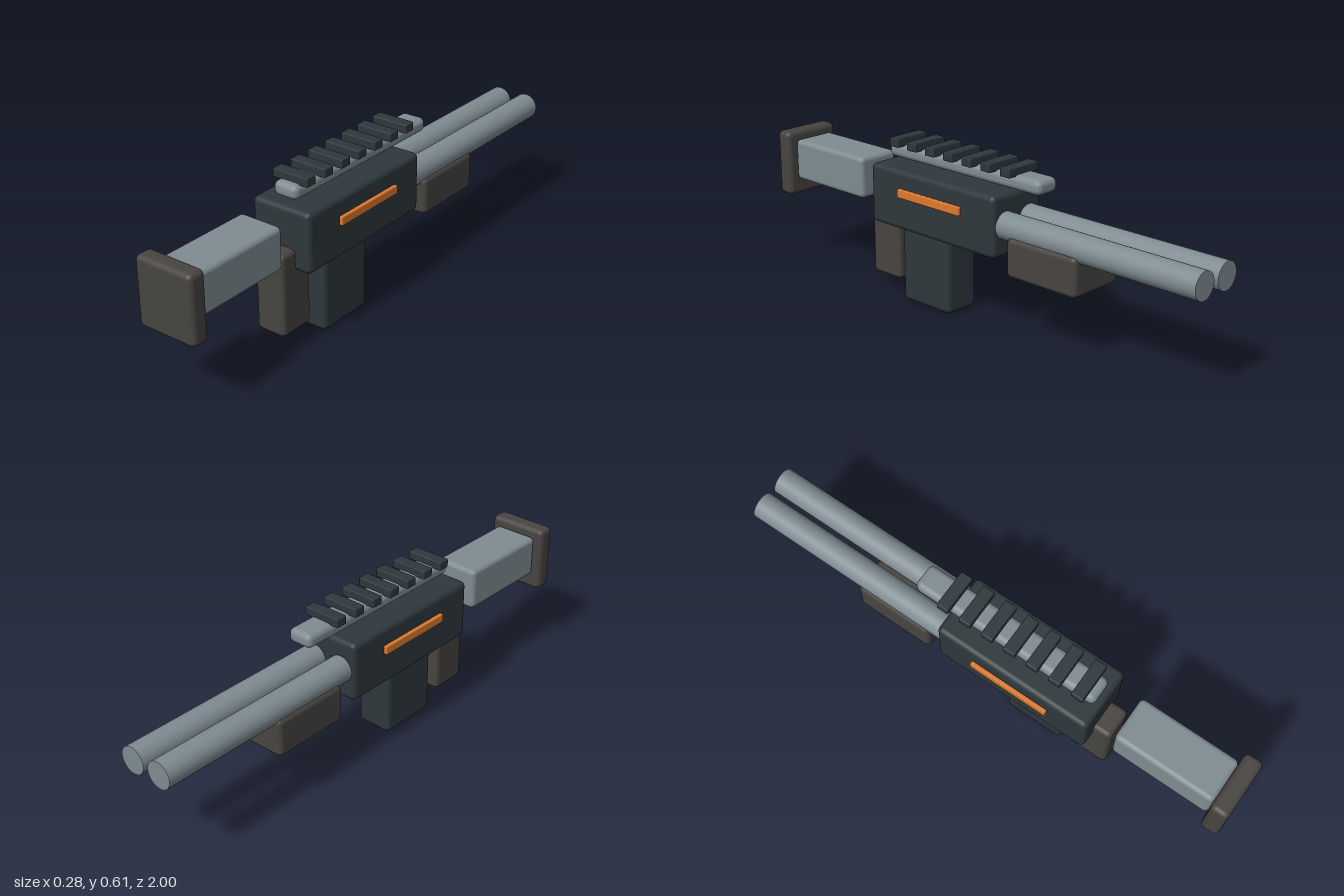
import * as THREE from 'three';
import { RoundedBoxGeometry } from 'three/addons/geometries/RoundedBoxGeometry.js';

const paint = (color) => new THREE.MeshStandardMaterial({ color });

export function createModel() {
  const model = new THREE.Group();
  const dark = paint(0x2e383c);
  const brown = paint(0x474441);
  const steel = paint(0x7f8c92);
  const orange = paint(0xdd7a30);

  // Rounded block given by its [min, max] extents on each axis
  const block = (name, material, [x0, x1], [y0, y1], [z0, z1], radius) => {
    const geometry = new RoundedBoxGeometry(x1 - x0, y1 - y0, z1 - z0, 3, radius);
    const mesh = new THREE.Mesh(geometry, material);
    mesh.name = name;
    mesh.position.set((x0 + x1) / 2, (y0 + y1) / 2, (z0 + z1) / 2);
    model.add(mesh);
    return mesh;
  };

  // Main body, magazine and grips
  block('receiver', dark, [-0.122, 0.122], [0.29, 0.517], [-0.17, 0.45], 0.02);
  block('magazine', dark, [-0.06, 0.084], [0, 0.31], [0.087, 0.328], 0.02);
  block('rearGrip', brown, [-0.06, 0.06], [0.057, 0.37], [0.37, 0.518], 0.018);
  block('foreGrip', brown, [-0.115, 0.115], [0.24, 0.387], [-0.53, -0.22], 0.02);

  // Stock with its end pad
  block('stock', steel, [-0.087, 0.087], [0.345, 0.505], [0.54, 0.93], 0.018);
  block('buttPad', brown, [-0.117, 0.119], [0.28, 0.536], [0.93, 1], 0.02);

  // Top rail and its seven crossbars
  block('topRail', steel, [-0.05, 0.05], [0.532, 0.586], [-0.312, 0.428], 0.022);
  for (let i = 0; i < 7; i++) {
    const z = 0.374 - i * 0.0917;
    block('railCrossbar', dark, [-0.074, 0.074], [0.58, 0.613], [z - 0.023, z + 0.023], 0.004);
  }

  // Mirrored barrels and side strips
  const barrelGeometry = new THREE.CylinderGeometry(0.05, 0.05, 0.85, 32).rotateX(Math.PI / 2);
  for (const side of [-1, 1]) {
    const name = side > 0 ? 'left' : 'right';
    const barrel = new THREE.Mesh(barrelGeometry, steel);
    barrel.name = name + 'Barrel';
    barrel.position.set(side * 0.06, 0.405, -0.575);
    model.add(barrel);
    const strip = block(name + 'SideStrip', orange, [-0.008, 0.008], [0.419, 0.452], [-0.018, 0.295], 0.004);
    strip.position.x = side * 0.131;
  }
  return model;
}
